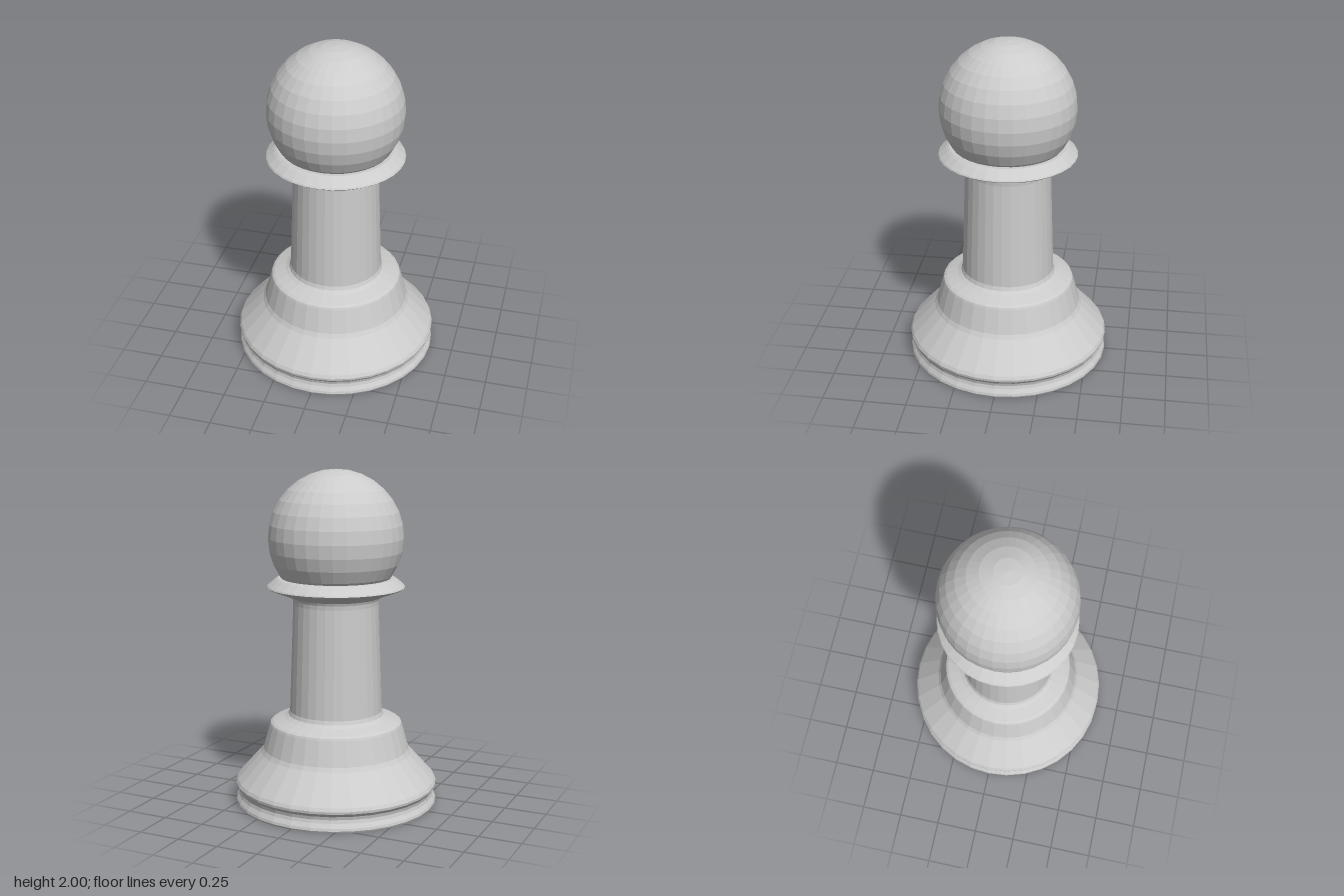
import * as THREE from 'three';

const SIDES = 32;

export function createModel() {
  const group = new THREE.Group();
  group.name = 'pawn';
  const material = new THREE.MeshStandardMaterial({ color: 0xcccccc, flatShading: true });

  const add = (name, geometry) => {
    const mesh = new THREE.Mesh(geometry, material);
    mesh.name = name;
    group.add(mesh);
    return mesh;
  };
  // Turned part from [radius, height] pairs, bottom to top
  const turned = (name, profile) =>
    add(name, new THREE.LatheGeometry(profile.map(([r, y]) => new THREE.Vector2(r, y)), SIDES));

  // Foot with a groove round the rim, sloping up to a stepped shoulder
  turned('base', [
    [0, 0], [0.605, 0], [0.61, 0.01], [0.607, 0.025], [0.592, 0.05], [0.587, 0.07],
    [0.592, 0.09], [0.608, 0.11], [0.61, 0.125], [0.6, 0.145], [0.455, 0.305], [0.44, 0.33],
    [0.433, 0.355], [0.4, 0.475], [0.395, 0.488], [0.38, 0.498], [0.31, 0.523], [0.287, 0.537],
    [0.278, 0.56],
  ]);

  // Tapering shaft
  turned('shaft', [[0.278, 0.56], [0.254, 1.21], [0.256, 1.235]]);

  // Sharp-edged collar
  turned('collar', [
    [0.256, 1.235], [0.262, 1.25], [0.28, 1.258], [0.4, 1.304], [0.41, 1.312],
    [0.405, 1.32], [0.362, 1.355], [0.345, 1.365], [0, 1.365],
  ]);

  // Ball head
  add('head', new THREE.SphereGeometry(0.4, SIDES, 16)).position.y = 1.6;

  return group;
}
